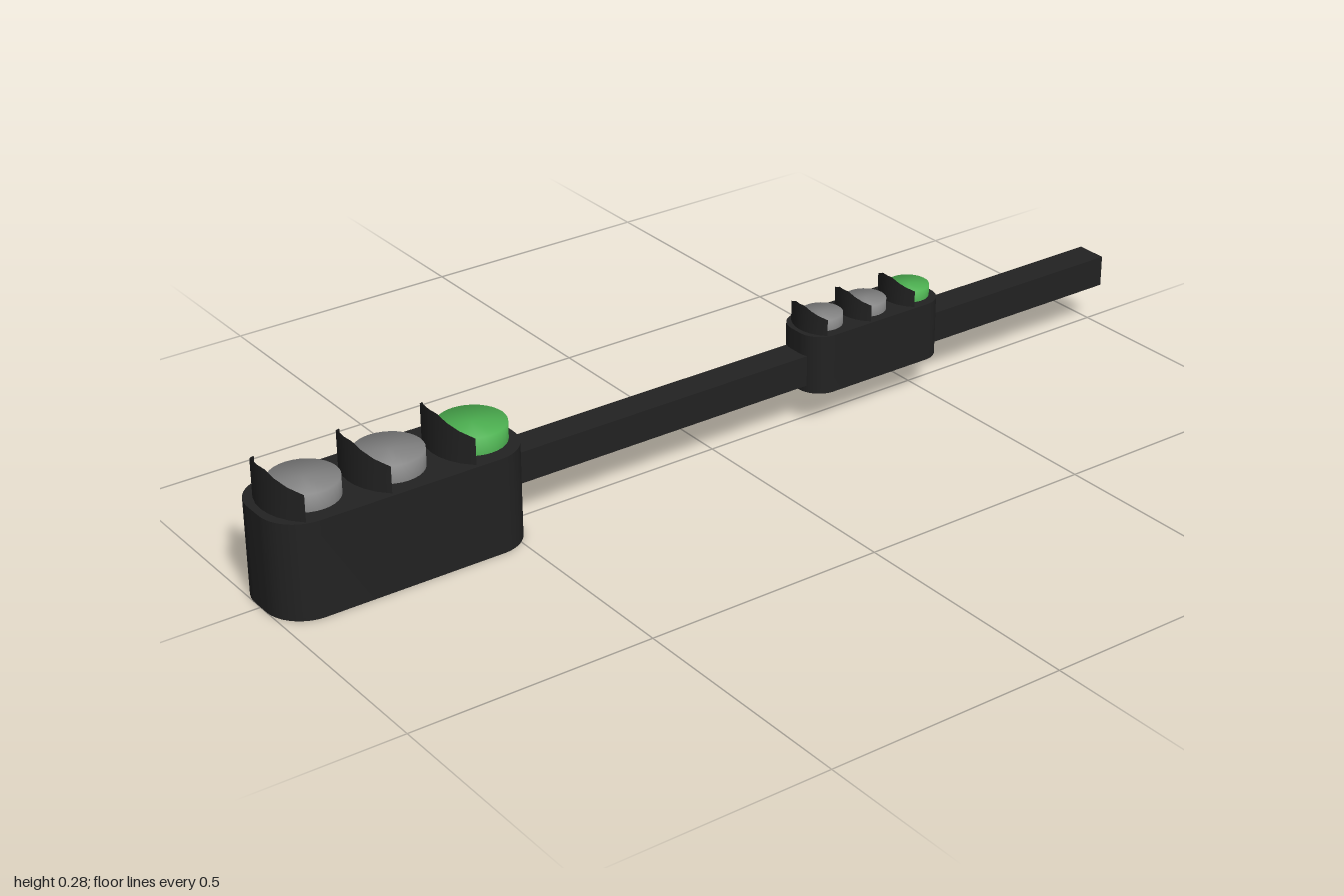
import * as THREE from 'three';
import { toCreasedNormals } from 'three/addons/utils/BufferGeometryUtils.js';

const black = new THREE.MeshStandardMaterial({ color: 0x222222, side: THREE.DoubleSide });
black.name = 'black metal';
const grey = new THREE.MeshStandardMaterial({ color: 0x828282 });
grey.name = 'unlit grey';
const green = new THREE.MeshStandardMaterial({ color: 0x4caf50 });
green.name = 'lit green';

function add(parent, name, geometry, material) {
  const mesh = new THREE.Mesh(geometry, material);
  mesh.name = name;
  parent.add(mesh);
  return mesh;
}

// Upright box with a rounded outline in plan
function housingGeometry(halfW, halfL, r, height) {
  const s = new THREE.Shape();
  s.moveTo(halfW, -halfL + r);
  s.absarc(halfW - r, halfL - r, r, 0, Math.PI / 2);
  s.absarc(-halfW + r, halfL - r, r, Math.PI / 2, Math.PI);
  s.absarc(-halfW + r, -halfL + r, r, Math.PI, Math.PI * 1.5);
  s.absarc(halfW - r, -halfL + r, r, Math.PI * 1.5, Math.PI * 2);
  const g = new THREE.ExtrudeGeometry(s, { depth: height, bevelEnabled: false, curveSegments: 10 });
  g.rotateX(-Math.PI / 2);
  return toCreasedNormals(g, 0.6);
}

// Curved sheet with a flat peak and sloping shoulders
function visorGeometry() {
  const g = new THREE.PlaneGeometry(0.18, 1, 8, 1);
  const p = g.attributes.position;
  const R = 0.121;
  for (let i = 0; i < p.count; i++) {
    const x = p.getX(i);
    const shoulder = Math.max(0, Math.abs(x) - 0.0225) / 0.0675;
    const top = 0.284 - 0.034 * shoulder;
    p.setXYZ(i, x, p.getY(i) > 0 ? top : 0.192, 0.088 - R + Math.sqrt(R * R - x * x));
  }
  g.computeVertexNormals();
  return g;
}

// Short drum whose rim is shaded softly
function lensGeometry() {
  const r = 0.067;
  const profile = [[r, 0.19], [r, 0.232], [0, 0.233]].map(([x, y]) => new THREE.Vector2(x, y));
  return new THREE.LatheGeometry(profile, 32);
}

function signalHead(name) {
  const head = new THREE.Group();
  head.name = name;
  add(head, 'housing', housingGeometry(0.098, 0.265, 0.078, 0.196), black);
  const lens = lensGeometry();
  const visor = visorGeometry();
  [0.162, -0.012, -0.188].forEach((z, i) => {
    add(head, 'lens' + (i + 1), lens, i === 2 ? green : grey).position.z = z;
    add(head, 'visor' + (i + 1), visor, black).position.z = z;
  });
  return head;
}

export function createModel() {
  const model = new THREE.Group();
  model.name = 'trafficLight';

  // Square hollow pole, open at its foot
  const pole = new THREE.CylinderGeometry(0.0325 * Math.SQRT2, 0.0325 * Math.SQRT2, 1.52, 4, 1, true);
  pole.rotateY(Math.PI / 4);
  pole.rotateX(Math.PI / 2);
  add(model, 'pole', toCreasedNormals(pole, 0.6), black).position.set(0, 0.122, -0.24);

  // Large upper head and small lower head
  const large = signalHead('largeSignalHead');
  large.position.z = 0.735;
  const small = signalHead('smallSignalHead');
  small.scale.setScalar(0.634);
  small.position.set(0, 0.075, -0.372);
  model.add(large, small);
  return model;
}
